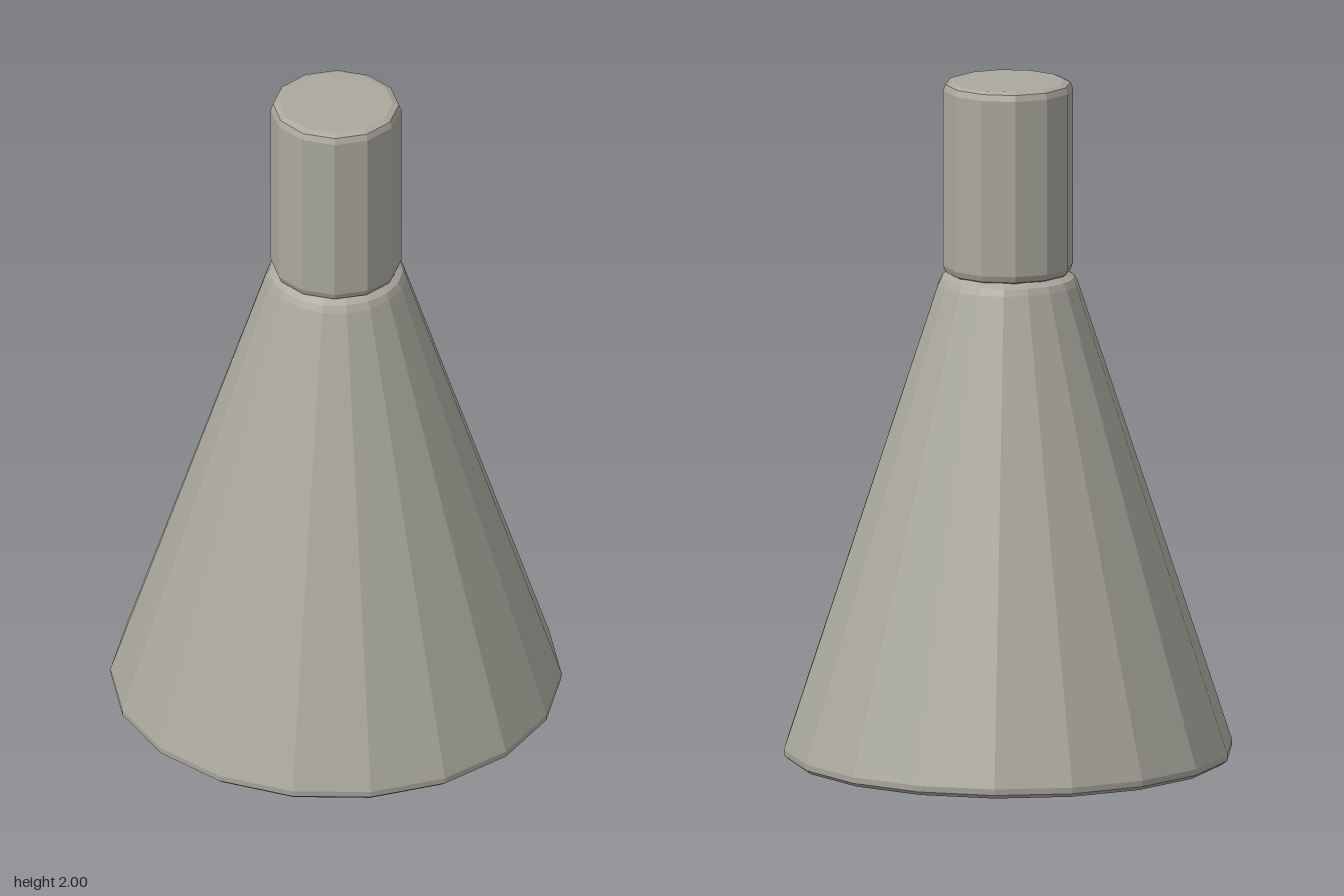
import * as THREE from 'three';

// Faceted solid of revolution with one corner facing the front
function turned(name, profile, sides, material) {
  const points = profile.map(([r, y]) => new THREE.Vector2(r, y));
  const geometry = new THREE.LatheGeometry(points, sides).toNonIndexed();
  geometry.computeVertexNormals();
  const mesh = new THREE.Mesh(geometry, material);
  mesh.name = name;
  return mesh;
}

export function createModel() {
  const group = new THREE.Group();
  group.name = 'coneWithNeck';
  const stone = new THREE.MeshStandardMaterial({ color: 0xaaa89e });
  stone.name = 'warm grey';

  // Tapered body with small bevels at base and shoulder
  group.add(turned('body', [
    [0, 0], [0.64, 0], [0.655, 0.012], [0.656, 0.03],
    [0.205, 1.4], [0.195, 1.42], [0.17, 1.435], [0, 1.435],
  ], 18, stone));

  // Upright neck with bevelled rims
  group.add(turned('neck', [
    [0, 1.43], [0.17, 1.43], [0.183, 1.437], [0.19, 1.455],
    [0.19, 1.975], [0.183, 1.993], [0.165, 2], [0, 2],
  ], 12, stone));

  return group;
}
